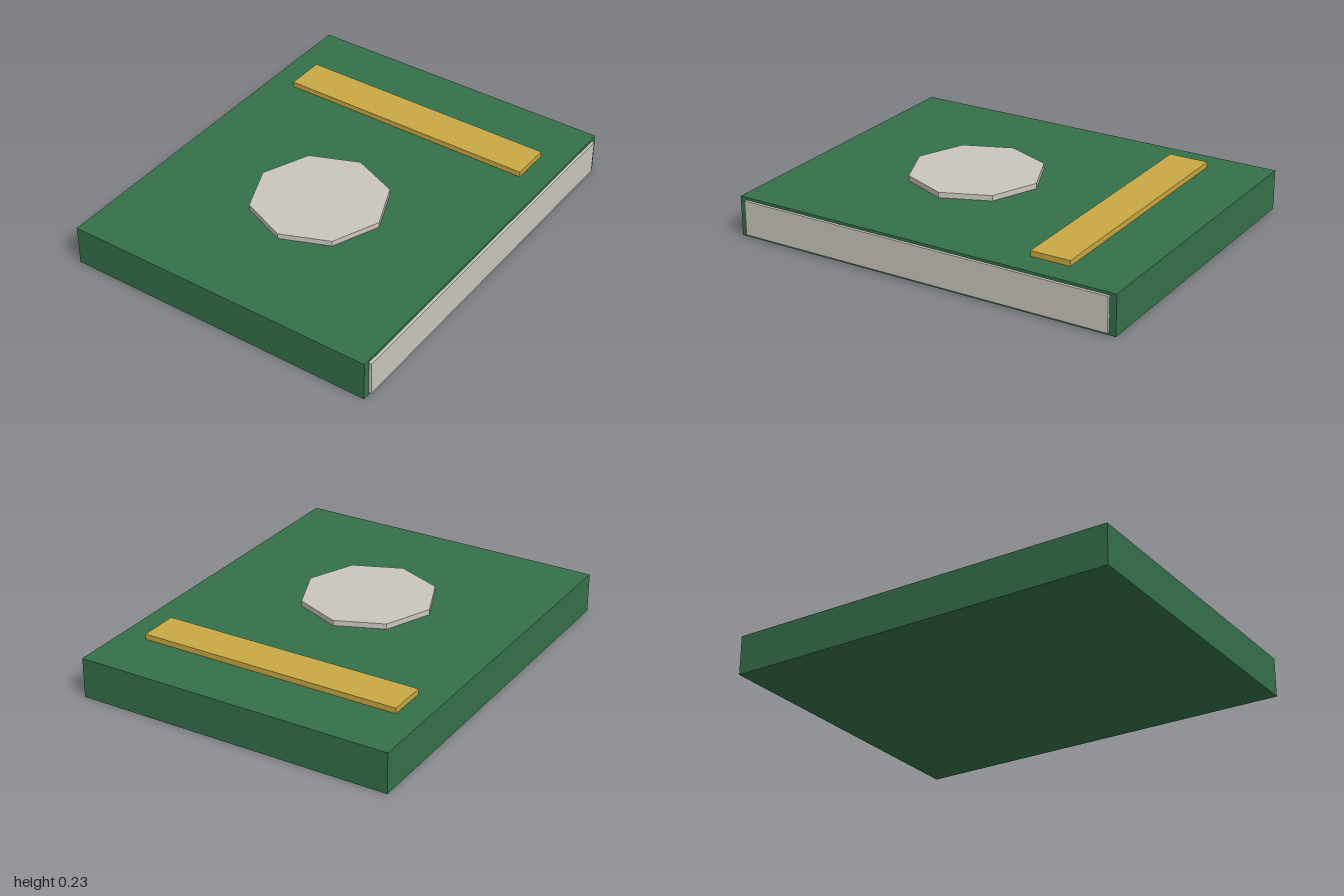
import * as THREE from 'three';

const paint = (name, color) => {
  const m = new THREE.MeshStandardMaterial({ color });
  m.name = name;
  return m;
};

export function createModel() {
  const green = paint('cover green', 0x35704a);
  const gold = paint('gold', 0xc9a843);
  const paper = paint('paper grey', 0xcac6bd);
  const book = new THREE.Group();
  book.name = 'book';
  const coverX = -0.007; // the page edge sticks out on +x, so the cover sits slightly left

  const add = (name, geometry, material, x, y, z) => {
    const mesh = new THREE.Mesh(geometry, material);
    mesh.name = name;
    mesh.position.set(x, y, z);
    book.add(mesh);
  };

  // closed cover block
  add('cover', new THREE.BoxGeometry(1.6, 0.2, 2), green, coverX, 0.1, 0);
  // page edge, proud of the cover on the opening side
  add('pageEdge', new THREE.BoxGeometry(0.04, 0.173, 1.933), paper, 0.787, 0.1, 0);
  // raised title bar
  add('titleBar', new THREE.BoxGeometry(1.333, 0.027, 0.2), gold, coverX, 0.2135, -0.6);
  // raised octagonal emblem, with a corner towards the front
  const octagon = new THREE.CylinderGeometry(0.333, 0.333, 0.027, 8).toNonIndexed();
  octagon.computeVertexNormals();
  add('emblem', octagon, paper, coverX, 0.2135, 0.2);

  return book;
}
